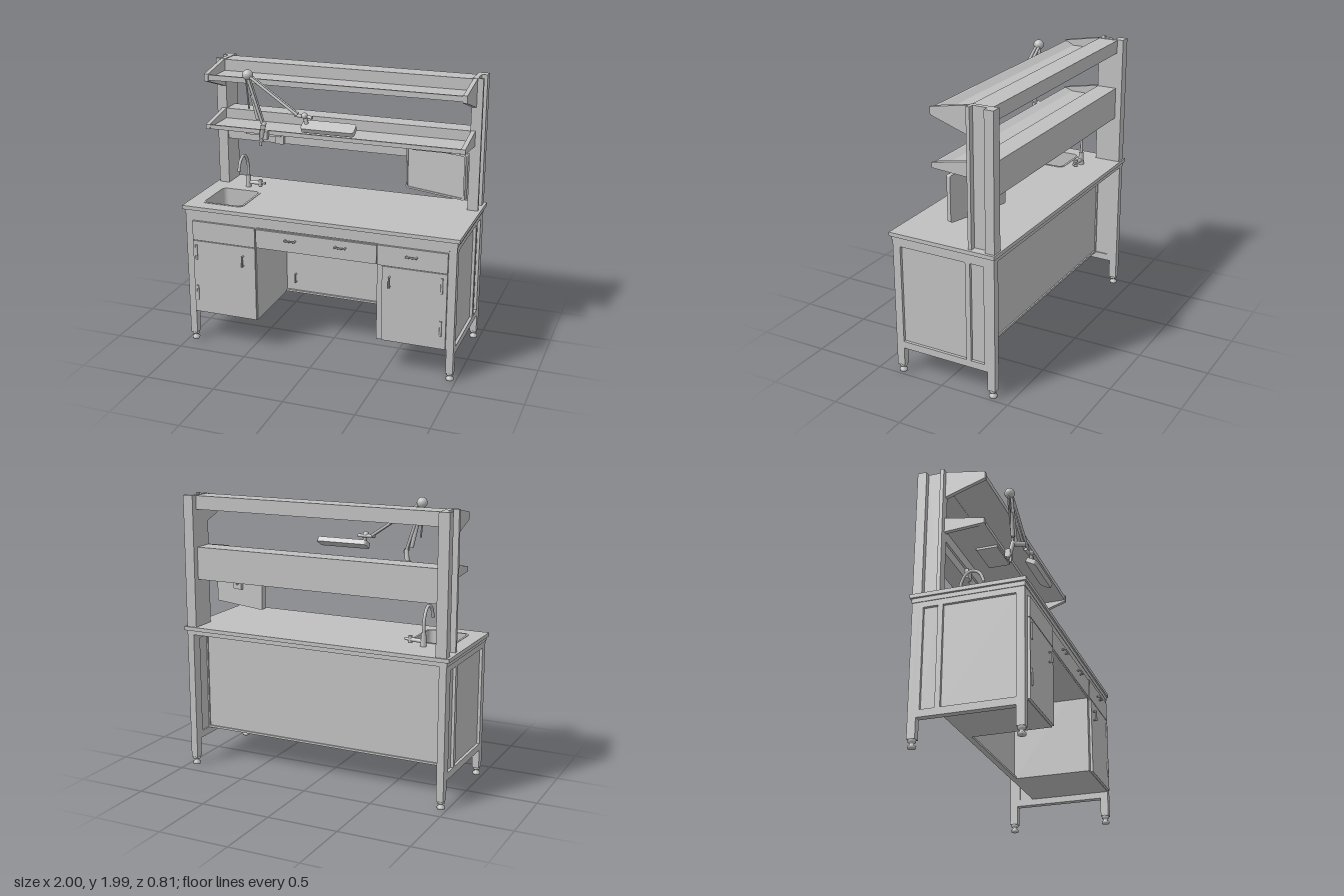
import * as THREE from 'three';

const metal = new THREE.MeshStandardMaterial({ color: 0xc0c0c0 });
metal.name = 'paintedGrey';

export function createModel() {
  const root = new THREE.Group();
  root.name = 'workbench';

  const add = (name, geo, parent = root) => {
    const m = new THREE.Mesh(geo, metal);
    m.name = name;
    parent.add(m);
    return m;
  };
  // box given by its min and max on each axis
  const box = (name, x0, x1, y0, y1, z0, z1, parent) => {
    const m = add(name, new THREE.BoxGeometry(x1 - x0, y1 - y0, z1 - z0), parent);
    m.position.set((x0 + x1) / 2, (y0 + y1) / 2, (z0 + z1) / 2);
    return m;
  };
  // the same box on both ends of the bench
  const pair = (name, x0, x1, ...rest) => {
    box(name, x0, x1, ...rest);
    box(name, -x1, -x0, ...rest);
  };
  const v = (p) => new THREE.Vector3(...p);
  const rod = (name, a, b, r, r2 = r) => {
    const d = v(b).sub(v(a));
    const m = add(name, new THREE.CylinderGeometry(r2, r, d.length(), 12));
    m.position.copy(v(a)).addScaledVector(d, 0.5);
    m.quaternion.setFromUnitVectors(new THREE.Vector3(0, 1, 0), d.normalize());
    return m;
  };
  const ball = (name, p, r) => add(name, new THREE.SphereGeometry(r, 16, 12)).position.set(...p);
  const tube = (name, pts, r) =>
    add(name, new THREE.TubeGeometry(new THREE.CatmullRomCurve3(pts.map(v)), 32, r, 10));
  const roundRect = (S, x0, x1, y0, y1, r) => {
    const s = new S();
    s.moveTo(x0 + r, y0);
    s.lineTo(x1 - r, y0).absarc(x1 - r, y0 + r, r, -Math.PI / 2, 0);
    s.lineTo(x1, y1 - r).absarc(x1 - r, y1 - r, r, 0, Math.PI / 2);
    s.lineTo(x0 + r, y1).absarc(x0 + r, y1 - r, r, Math.PI / 2, Math.PI);
    s.lineTo(x0, y0 + r).absarc(x0 + r, y0 + r, r, Math.PI, Math.PI * 1.5);
    return s;
  };
  const extrude = (shape, depth) =>
    new THREE.ExtrudeGeometry(shape, { depth, bevelEnabled: false, curveSegments: 6 });
  const polygon = (pts) => new THREE.Shape(pts.map((p) => new THREE.Vector2(...p)));

  // worktop with a sink cut-out (shape y is -z), stepped under its edge
  const top = polygon([[-1, -0.375], [1, -0.375], [1, 0.41], [-1, 0.41]]);
  top.holes.push(roundRect(THREE.Path, -0.895, -0.59, -0.27, 0.08, 0.04));
  add('worktop', extrude(top, 0.027).rotateX(-Math.PI / 2)).position.y = 1.01;
  const bowl = roundRect(THREE.Shape, -0.9, -0.585, -0.275, 0.085, 0.045);
  bowl.holes.push(roundRect(THREE.Path, -0.885, -0.6, -0.26, 0.07, 0.035));
  add('sinkBowl', extrude(bowl, 0.19).rotateX(-Math.PI / 2)).position.y = 0.85;
  box('sinkFloor', -0.895, -0.59, 0.845, 0.855, -0.08, 0.27);
  rod('sinkDrain', [-0.74, 0.85, 0.095], [-0.74, 0.86, 0.095], 0.025);

  // frame: legs, feet and rails
  for (const s of [-1, 1]) for (const z of [0.333, -0.37]) {
    const x = s * 0.955;
    box('leg', x - 0.025, x + 0.025, 0.055, 1.01, z - 0.028, z + 0.028);
    const foot = [[0, 0], [0.026, 0], [0.028, 0.015], [0.014, 0.025], [0.014, 0.035], [0.026, 0.04], [0.026, 0.057], [0, 0.057]];
    add('foot', new THREE.LatheGeometry(foot.map((p) => new THREE.Vector2(...p)), 16)).position.set(x, 0, z);
  }
  pair('sideBottomRail', 0.93, 0.98, 0.19, 0.24, -0.342, 0.305);
  pair('sideTopRail', 0.93, 0.98, 0.94, 0.98, -0.342, 0.305);
  pair('worktopSideLip', 0.93, 0.985, 0.98, 1.01, -0.4, 0.365);
  box('worktopFrontLip', -0.93, 0.93, 0.98, 1.01, 0.335, 0.365);
  pair('sidePost', 0.93, 0.98, 0.24, 0.94, -0.22, -0.185);
  pair('sidePanel', 0.94, 0.96, 0.24, 0.94, -0.185, 0.305);
  pair('sideRearPanel', 0.94, 0.96, 0.24, 0.94, -0.32, -0.22);
  pair('sideRearStrip', 0.93, 0.98, 0.24, 0.94, -0.345, -0.32);
  box('frontTopRail', -0.93, 0.93, 0.935, 0.98, 0.335, 0.362);
  box('rearTopRail', -0.93, 0.93, 0.98, 1.01, -0.4, -0.37);

  // rear panel with lower lip
  box('backPanel', -0.93, 0.93, 0.235, 1.01, -0.21, -0.195);
  box('backPanelLip', -0.93, 0.93, 0.235, 0.25, -0.22, -0.18);

  // pedestal cabinets
  for (const [x0, x1] of [[-0.93, -0.445], [0.435, 0.93]]) {
    box('cabinetSide', x0, x0 + 0.015, 0.235, 1.01, -0.195, 0.36);
    box('cabinetSide', x1 - 0.015, x1, 0.235, 1.01, -0.195, 0.36);
    box('cabinetBottom', x0, x1, 0.235, 0.25, -0.195, 0.36);
    box('cabinetFace', x0, x1, 0.25, 0.94, 0.345, 0.36);
  }
  box('leftDoor', 0.475, 0.925, 0.24, 0.785, 0.36, 0.377);
  box('rightDoor', -0.925, -0.45, 0.24, 0.785, 0.36, 0.377);
  box('leftDrawerFront', 0.44, 0.925, 0.79, 0.932, 0.36, 0.377);
  box('sinkFront', -0.925, -0.45, 0.79, 0.932, 0.36, 0.377);
  box('middleDrawerBox', -0.445, 0.435, 0.787, 0.93, -0.1, 0.36);
  box('middleDrawerFront', -0.443, 0.433, 0.79, 0.925, 0.36, 0.372);

  // handles and hinges
  const handle = (x, y, z, dx, dy) => {
    const tip = z + 0.026;
    for (const s of [-1, 1])
      rod('handlePost', [x + s * dx, y + s * dy, z], [x + s * dx, y + s * dy, tip], 0.006);
    rod('handleBar', [x - dx * 1.15, y - dy * 1.15, tip], [x + dx * 1.15, y + dy * 1.15, tip], 0.006);
  };
  for (const x of [-0.185, 0.18, 0.68]) handle(x, 0.877, 0.37, 0.035, 0);
  for (const x of [-0.54, 0.53]) handle(x, 0.68, 0.373, 0, 0.034);
  handle(-0.37, 0.35, -0.195, 0, 0.03);
  for (const x of [-0.9, 0.89]) for (const y of [0.39, 0.7])
    rod('hinge', [x, y - 0.055, 0.379], [x, y + 0.055, 0.379], 0.008);

  // grooved uprights
  for (const s of [-1, 1]) {
    const pts = [[0.905, 0.4], [0.905, 0.21], [0.98, 0.21], [0.98, 0.235], [0.94, 0.235], [0.94, 0.335], [0.98, 0.335], [0.98, 0.4]];
    const ring = pts.map(([x, z]) => [s * x, z]);
    add('upright', extrude(polygon(ring), 0.935).rotateX(-Math.PI / 2)).position.y = 1.035;
  }

  // cross beams
  box('topBeam', -0.905, 0.905, 1.87, 1.965, -0.355, -0.21);
  box('middleBeam', -0.905, 0.905, 1.445, 1.605, -0.355, -0.21);
  box('lowerRail', -0.905, 0.905, 1.375, 1.445, -0.355, -0.225);

  // shelves: floor, sloped front lip and tapered end brackets (profile x is -z)
  const shelf = (floor, lip, end) => {
    box('shelfFloor', -0.935, 0.935, floor, floor + 0.012, -0.21, 0.06);
    const g = extrude(polygon([[-0.065, floor], [0, floor], [0, floor + 0.012], [-0.05, lip], [-0.065, lip]]), 1.87);
    add('shelfLip', g.rotateY(Math.PI / 2)).position.x = -0.935;
    for (const x of [-0.94, 0.91])
      add('shelfBracket', extrude(polygon(end), 0.03).rotateY(Math.PI / 2)).position.x = x;
  };
  shelf(1.872, 1.91, [[-0.07, 1.864], [0.21, 1.77], [0.21, 1.967], [-0.07, 1.916]]);
  shelf(1.52, 1.55, [[-0.07, 1.518], [0.21, 1.5], [0.21, 1.607], [-0.07, 1.553]]);

  // turned display on a bracket
  const display = new THREE.Group();
  display.name = 'display';
  display.position.set(0.707, 1.325, -0.13);
  display.rotation.y = -0.3;
  root.add(display);
  add('displayCase', extrude(roundRect(THREE.Shape, -0.237, 0.237, -0.16, 0.16, 0.015), 0.025), display);
  const bezel = roundRect(THREE.Shape, -0.237, 0.237, -0.16, 0.16, 0.015);
  bezel.holes.push(roundRect(THREE.Path, -0.225, 0.225, -0.148, 0.148, 0.008));
  add('displayBezel', extrude(bezel, 0.008), display).position.z = 0.025;
  box('displayMount', -0.04, 0.04, -0.04, 0.04, -0.02, 0, display);
  rod('displayArm', [0.71, 1.325, -0.14], [0.71, 1.4, -0.23], 0.015);
  box('displayBracket', 0.66, 0.76, 1.375, 1.445, -0.227, -0.2);
  box('shelfPlate', 0.57, 0.84, 1.505, 1.52, -0.19, 0.03);
  box('shelfPlate', -0.64, -0.38, 1.505, 1.52, -0.1, 0.05);
  box('railBox', -0.525, -0.46, 1.375, 1.445, -0.226, -0.2);

  // tap
  rod('tapBase', [-0.73, 1.035, -0.17], [-0.73, 1.13, -0.17], 0.022, 0.016);
  tube('tapSpout', [[-0.73, 1.1, -0.17], [-0.73, 1.21, -0.168], [-0.73, 1.28, -0.13], [-0.73, 1.297, -0.085], [-0.73, 1.27, -0.035], [-0.73, 1.2, -0.003]], 0.011);
  rod('tapValve', [-0.73, 1.07, -0.17], [-0.62, 1.075, -0.17], 0.014);
  rod('tapKnob', [-0.635, 1.05, -0.17], [-0.635, 1.1, -0.17], 0.014);
  rod('tapLever', [-0.66, 1.075, -0.17], [-0.595, 1.075, -0.17], 0.009);

  // jointed lamp clamped to the lower shelf
  box('lampClamp', -0.52, -0.46, 1.49, 1.55, 0.06, 0.1);
  rod('lampScrew', [-0.51, 1.445, 0.1], [-0.5, 1.5, 0.1], 0.009);
  rod('lampPost', [-0.505, 1.48, 0.085], [-0.48, 1.62, 0.11], 0.016);
  rod('lampKnob', [-0.48, 1.61, 0.1], [-0.45, 1.605, 0.19], 0.018);
  for (const z of [0.108, 0.132]) {
    rod('lampLowerArm', [-0.475, 1.6, z], [-0.585, 1.94, z], 0.01);
    rod('lampUpperArm', [-0.585, 1.95, z], [-0.22, 1.7, z], 0.01);
  }
  rod('lampSpring', [-0.515, 1.64, 0.12], [-0.555, 1.81, 0.12], 0.014);
  rod('lampSideBar', [-0.58, 1.71, 0.12], [-0.6, 1.93, 0.12], 0.006);
  ball('lampElbow', [-0.585, 1.948, 0.12], 0.037);
  rod('lampWrist', [-0.24, 1.695, 0.12], [-0.11, 1.69, 0.13], 0.012);
  ball('lampJoint', [-0.165, 1.7, 0.135], 0.022);
  rod('lampNeck', [-0.165, 1.7, 0.135], [-0.15, 1.645, 0.135], 0.014);
  const shade = extrude(roundRect(THREE.Shape, -0.19, 0.19, -0.046, 0.046, 0.02), 0.035);
  add('lampHead', shade.rotateX(-Math.PI / 2 + 0.5)).position.set(0.01, 1.614, 0.13);

  return root;
}
